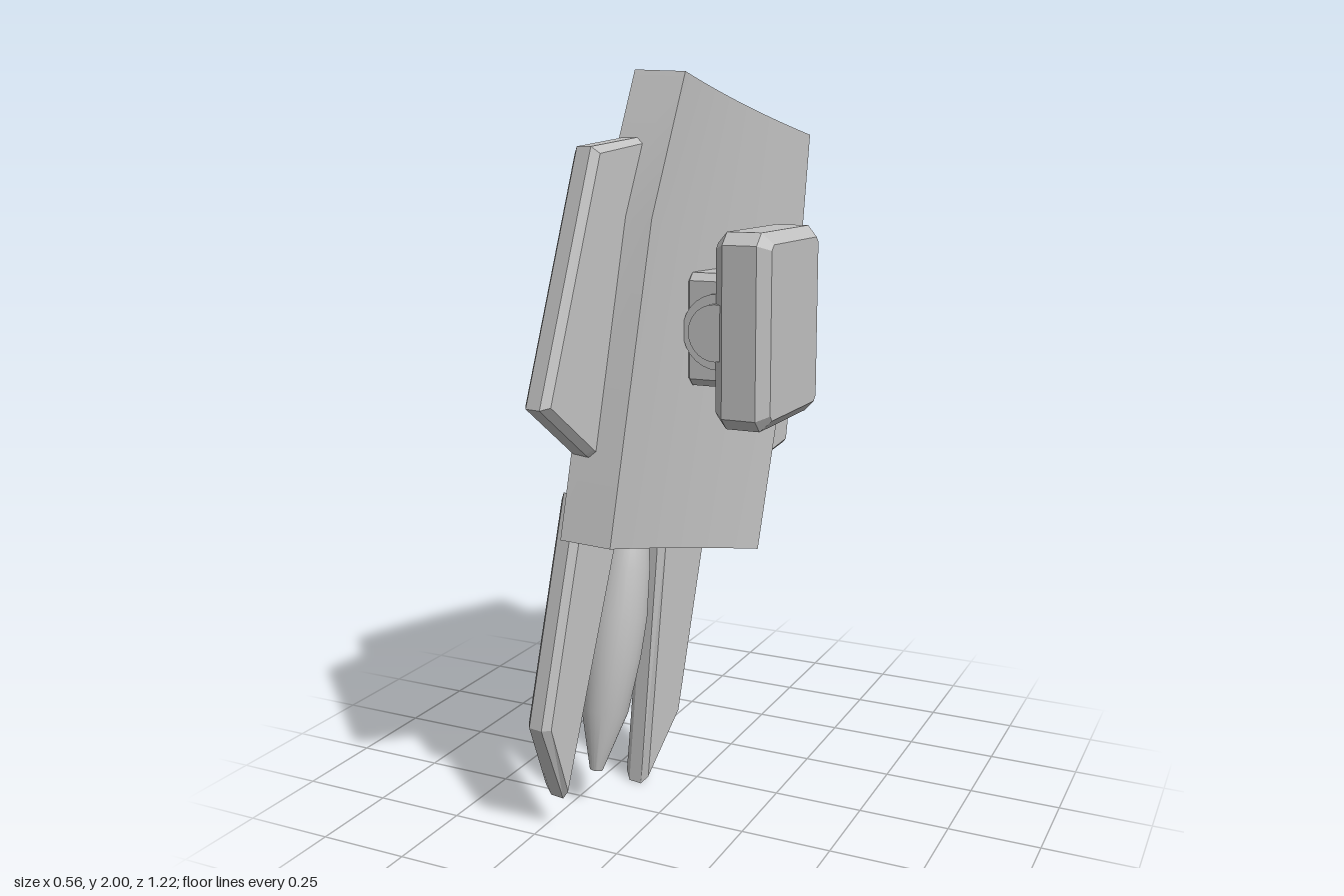
import * as THREE from 'three';
import { toCreasedNormals } from 'three/addons/utils/BufferGeometryUtils.js';

export function createModel() {
  const grey = new THREE.MeshStandardMaterial({ color: 0xc0c0c0 });
  grey.name = 'plain grey';
  const model = new THREE.Group();
  model.name = 'armPlate';

  const add = (parent, name, geo, x = 0, y = 0, z = 0) => {
    const m = new THREE.Mesh(geo, grey);
    m.name = name;
    m.position.set(x, y, z);
    parent.add(m);
    return m;
  };
  const box = (parent, name, w, h, d, x, y, z) =>
    add(parent, name, new THREE.BoxGeometry(w, h, d), x, y, z);

  // Bevelled flat plate from an outline, filling z0..z1
  const slab = (pts, z0, z1, bevel) => {
    const geo = new THREE.ExtrudeGeometry(
      new THREE.Shape(pts.map(([a, b]) => new THREE.Vector2(a, b))),
      { depth: z1 - z0 - 2 * bevel, bevelEnabled: true, bevelSegments: 1,
        bevelThickness: bevel, bevelSize: bevel, bevelOffset: -bevel });
    return geo.translate(0, 0, z0 + bevel);
  };
  const chamferedRect = (w, h, c) => [
    [-w / 2 + c, -h / 2], [w / 2 - c, -h / 2], [w / 2, -h / 2 + c], [w / 2, h / 2 - c],
    [w / 2 - c, h / 2], [-w / 2 + c, h / 2], [-w / 2, h / 2 - c], [-w / 2, -h / 2 + c]];

  // Frame of the plate: local x runs to the front, local z outwards (-x)
  const shell = new THREE.Group();
  shell.name = 'shell';
  shell.position.x = -0.07;
  shell.rotation.y = -(Math.PI / 2 + 0.178);
  model.add(shell);

  // Curved main plate: a box bent between three rows of edge points
  const rows = [
    { f: [0.495, 0.83], b: [-0.245, 0.65] },
    { f: [0.312, 1.64], b: [-0.457, 1.46] },
    { f: [0.167, 2.0], b: [-0.503, 1.83] }];
  const plate = new THREE.BoxGeometry(1, 1, 1, 12, 2, 1);
  const p = plate.attributes.position;
  for (let i = 0; i < p.count; i++) {
    const { f, b } = rows[Math.round((p.getY(i) + 0.5) * 2)];
    const u = p.getX(i) + 0.5;
    const inner = p.getZ(i) < 0;
    const squeeze = inner ? 0.026 * (1 - 2 * u) : 0;
    const bulge = 0.02 * 4 * u * (1 - u);
    p.setXYZ(i, b[0] + (f[0] - b[0]) * u + squeeze,
      b[1] + (f[1] - b[1]) * u + squeeze * 0.25, bulge - (inner ? 0.14 : 0));
  }
  add(shell, 'mainPlate', toCreasedNormals(plate, 0.5));

  // Side fins and lower fins
  const fins = [
    ['upperFrontFin', [[0.19, 1.835], [0.41, 1.81], [0.62, 1.19], [0.45, 1.05], [0.39, 1.01]], -0.068, 0.012],
    ['upperBackFin', [[-0.46, 1.66], [-0.61, 1.55], [-0.51, 0.913], [-0.25, 0.855]], -0.063, 0.012],
    ['lowerFrontFin', [[0.385, 0.92], [0.543, 0.315], [0.462, 0.093], [0.19, 0.87]], 0.02, 0.098],
    ['lowerBackFin', [[-0.215, 0.77], [-0.059, 0.167], [0.118, 0], [0.015, 0.83]], 0.02, 0.098]];
  for (const [name, pts, z0, z1] of fins) add(shell, name, slab(pts, z0, z1, 0.018));

  // Outer equipment, tilted along the plate
  const gear = new THREE.Group();
  gear.name = 'equipment';
  gear.position.set(0.08, 0.96, 0);
  gear.rotation.z = 0.245;
  shell.add(gear);

  // Round hub with six bolts
  const hub = new THREE.LatheGeometry(
    [[0, 0.07], [0.12, 0.07], [0.15, 0.09], [0.158, 0.115], [0.15, 0.145], [0.125, 0.165], [0, 0.17]]
      .map(([r, h]) => new THREE.Vector2(r, h)), 32).rotateX(Math.PI / 2);
  add(gear, 'hub', toCreasedNormals(hub, 0.6));
  add(gear, 'hubStem', new THREE.CylinderGeometry(0.1, 0.1, 0.09, 24).rotateX(Math.PI / 2), 0, 0, 0.045);
  for (let i = 0; i < 6; i++) {
    const a = i * Math.PI / 3 + 0.25;
    add(gear, 'hubBolt', new THREE.CylinderGeometry(0.018, 0.018, 0.03, 12).rotateX(Math.PI / 2),
      0.095 * Math.cos(a), 0.095 * Math.sin(a), 0.175);
  }

  // Pointed rod hanging below the hub
  const rod = new THREE.LatheGeometry(
    [[0, -0.885], [0.018, -0.88], [0.066, -0.71], [0.08, -0.55], [0.082, -0.44], [0.07, -0.3], [0.045, -0.15], [0, -0.1]]
      .map(([r, h]) => new THREE.Vector2(r, h)), 24);
  add(gear, 'rod', toCreasedNormals(rod, 0.6), 0, 0, 0.06);
  add(gear, 'rodClip', new THREE.ConeGeometry(0.025, 0.12, 12).rotateX(Math.PI), 0, -0.2, 0.12);

  // Mount blocks between hub and rollers
  add(gear, 'neckBlock', slab(chamferedRect(0.22, 0.16, 0.02), 0, 0.1, 0.01), -0.01, 0.14);
  add(gear, 'rollerBase', slab(chamferedRect(0.32, 0.18, 0.02), 0, 0.095, 0.012), 0, 0.29);
  box(gear, 'sideBlock', 0.07, 0.09, 0.1, -0.13, 0.2, 0.06);

  // Two rollers across the plate
  for (const [y, r] of [[0.31, 0.046], [0.4, 0.042]]) {
    add(gear, 'roller', new THREE.CylinderGeometry(r, r, 0.31, 20).rotateZ(Math.PI / 2), 0, y, 0.1);
    for (const s of [-1, 1])
      add(gear, 'rollerCap', new THREE.CylinderGeometry(r * 0.6, r * 0.6, 0.02, 16).rotateZ(Math.PI / 2), s * 0.162, y, 0.1);
  }

  // Panel with rails and cross bars
  add(gear, 'panel', slab(chamferedRect(0.31, 0.46, 0.03), 0, 0.07, 0.015), 0, 0.64);
  add(gear, 'panelInset', slab(chamferedRect(0.23, 0.4, 0.02), 0.05, 0.088, 0.01), 0, 0.64);
  for (const s of [-1, 1]) {
    box(gear, 'rail', 0.02, 0.4, 0.03, s * 0.125, 0.64, 0.08);
    add(gear, 'railKnob', new THREE.CylinderGeometry(0.016, 0.016, 0.04, 12).rotateX(Math.PI / 2), s * 0.125, 0.85, 0.085);
  }
  for (const y of [0.8, 0.84]) box(gear, 'topBar', 0.25, 0.018, 0.03, 0, y, 0.085);
  for (const y of [0.65, 0.72]) {
    box(gear, 'crossBar', 0.28, 0.018, 0.08, 0, y, 0.115);
    box(gear, 'crossBarLip', 0.28, 0.04, 0.015, 0, y, 0.152);
  }

  // Inner mount with hinge, and the bevelled pad
  const mount = add(model, 'mount', slab(chamferedRect(0.31, 0.3, 0.02), 0, 0.12, 0.018), 0.02, 1.335, -0.025);
  mount.rotation.y = Math.PI / 2;
  add(model, 'hinge', new THREE.CylinderGeometry(0.075, 0.075, 0.385, 28).rotateX(Math.PI / 2), 0.125, 1.335, -0.027);
  add(model, 'hingeCore', new THREE.CylinderGeometry(0.1, 0.1, 0.345, 28).rotateX(Math.PI / 2), 0.125, 1.335, -0.027);
  const pad = add(model, 'pad', slab(chamferedRect(0.4, 0.515, 0.032), 0, 0.155, 0.03), 0.12, 1.338, -0.025);
  pad.rotation.y = Math.PI / 2;

  return model;
}
